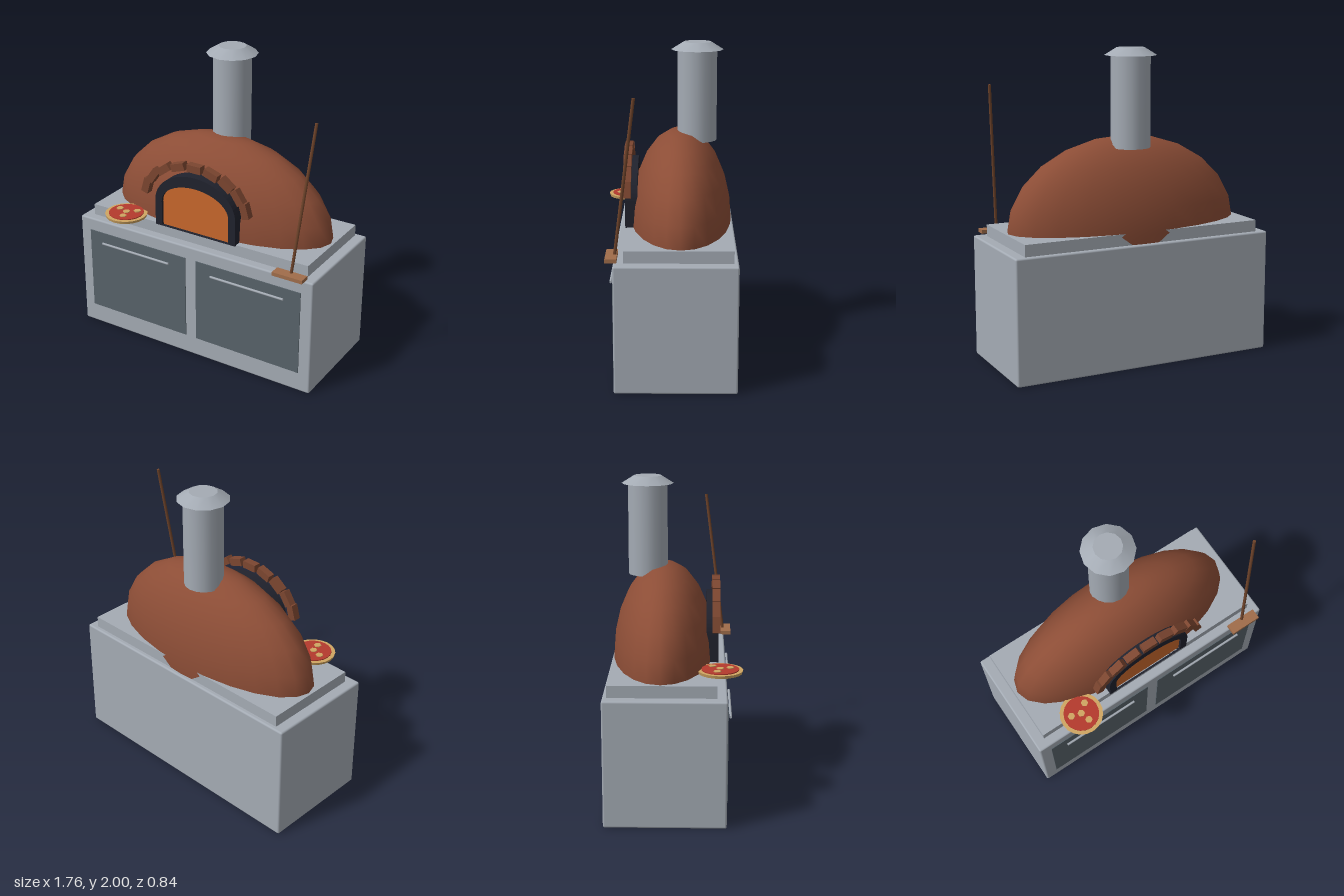
import * as THREE from 'three';
import { RoundedBoxGeometry } from 'three/addons/geometries/RoundedBoxGeometry.js';

const mat = (name, color) => {
  const m = new THREE.MeshStandardMaterial({ color });
  m.name = name;
  return m;
};

export function createModel() {
  const group = new THREE.Group();
  const metal = mat('brushed metal', 0xa4abb4);
  const glass = mat('dark door panel', 0x58636a);
  const clay = mat('terracotta', 0x8c4d36);
  const brick = mat('brick', 0x7c4630);
  const soot = mat('soot black', 0x20222d);
  const fire = mat('fire glow', 0xc9682c);
  const crust = mat('crust and cheese', 0xd0a562);
  const sauce = mat('tomato sauce', 0xb53a2d);
  const wood = mat('light wood', 0xa06d4a);
  const darkWood = mat('dark wood', 0x6e432a);

  const add = (name, geometry, material, x, y, z) => {
    const mesh = new THREE.Mesh(geometry, material);
    mesh.name = name;
    mesh.position.set(x, y, z);
    group.add(mesh);
    return mesh;
  };
  const box = (w, h, d) => new THREE.BoxGeometry(w, h, d);

  // Cabinet and worktop
  add('cabinet', new RoundedBoxGeometry(1.76, 0.795, 0.742, 2, 0.012), metal, 0, 0.3975, -0.049);
  add('worktop', box(1.62, 0.08, 0.652), metal, 0, 0.83, -0.066);

  // Doors with bar handles
  for (const side of [-1, 1]) {
    add('door', box(0.76, 0.575, 0.009), glass, side * 0.42, 0.4225, 0.3235);
    const bar = add('doorHandle', new THREE.CylinderGeometry(0.008, 0.008, 0.53, 8), metal, side * 0.425, 0.64, 0.343);
    bar.rotation.z = Math.PI / 2;
  }

  // Dome, continued slightly below its widest ring
  const dome = new THREE.SphereGeometry(1, 24, 7, 0, Math.PI * 2, 0, Math.PI * 7 / 12);
  dome.scale(0.797, 0.59, 0.325);
  add('dome', dome, clay, 0, 0.85, -0.076);

  // Arched mouth: frame with a glowing opening
  const arch = (path, w, rise, base) => {
    path.moveTo(w, base);
    path.lineTo(w, 1.04);
    path.absellipse(0, 1.04, w, rise, 0, Math.PI, false);
    path.lineTo(-w, base);
    path.closePath();
    return path;
  };
  const frame = arch(new THREE.Shape(), 0.3, 0.22, 0.865);
  frame.holes.push(arch(new THREE.Path(), 0.25, 0.145, 0.87));
  const extrude = (shape, depth) =>
    new THREE.ExtrudeGeometry(shape, { depth, bevelEnabled: false, curveSegments: 14 });
  add('mouthFrame', extrude(frame, 0.077), soot, 0, 0, 0.195);
  add('fireOpening', extrude(arch(new THREE.Shape(), 0.252, 0.147, 0.868), 0.055), fire, 0, 0, 0.2);

  // Brick arch over the mouth
  for (let i = 0; i < 9; i++) {
    const t = THREE.MathUtils.degToRad(16 + 18.5 * i);
    const b = add('archBrick', box(0.1, 0.05, 0.05), brick, 0.38 * Math.cos(t), 1.05 + 0.272 * Math.sin(t), 0.257);
    b.rotation.z = t - Math.PI / 2;
  }

  // Chimney and its cap
  add('chimney', new THREE.CylinderGeometry(0.125, 0.125, 0.585, 16), metal, 0, 1.6675, -0.178);
  add('chimneyCap', new THREE.CylinderGeometry(0.088, 0.165, 0.048, 12), metal, 0, 1.976, -0.178);

  // Pizza
  const px = -0.53, pz = 0.28;
  add('pizzaCrust', new THREE.CylinderGeometry(0.14, 0.135, 0.018, 20), crust, px, 0.88, pz);
  add('pizzaSauce', new THREE.CylinderGeometry(0.115, 0.115, 0.008, 20), sauce, px, 0.891, pz);
  for (const [x, z] of [[-0.064, -0.018], [0.055, -0.046], [0, 0], [0.018, 0.062]]) {
    add('pizzaCheese', new THREE.CylinderGeometry(0.024, 0.024, 0.006, 6), crust, px + x, 0.897, pz + z);
  }

  // Peel leaning against the worktop
  add('peelBlade', box(0.208, 0.024, 0.07), wood, 0.724, 0.814, 0.335);
  const low = new THREE.Vector3(0.725, 0.815, 0.316);
  const high = new THREE.Vector3(0.796, 1.77, 0.194);
  const pole = high.clone().sub(low);
  const mid = low.clone().add(high).multiplyScalar(0.5);
  const handle = add('peelHandle', new THREE.CylinderGeometry(0.01, 0.01, pole.length(), 8), darkWood, mid.x, mid.y, mid.z);
  handle.quaternion.setFromUnitVectors(new THREE.Vector3(0, 1, 0), pole.normalize());

  return group;
}
